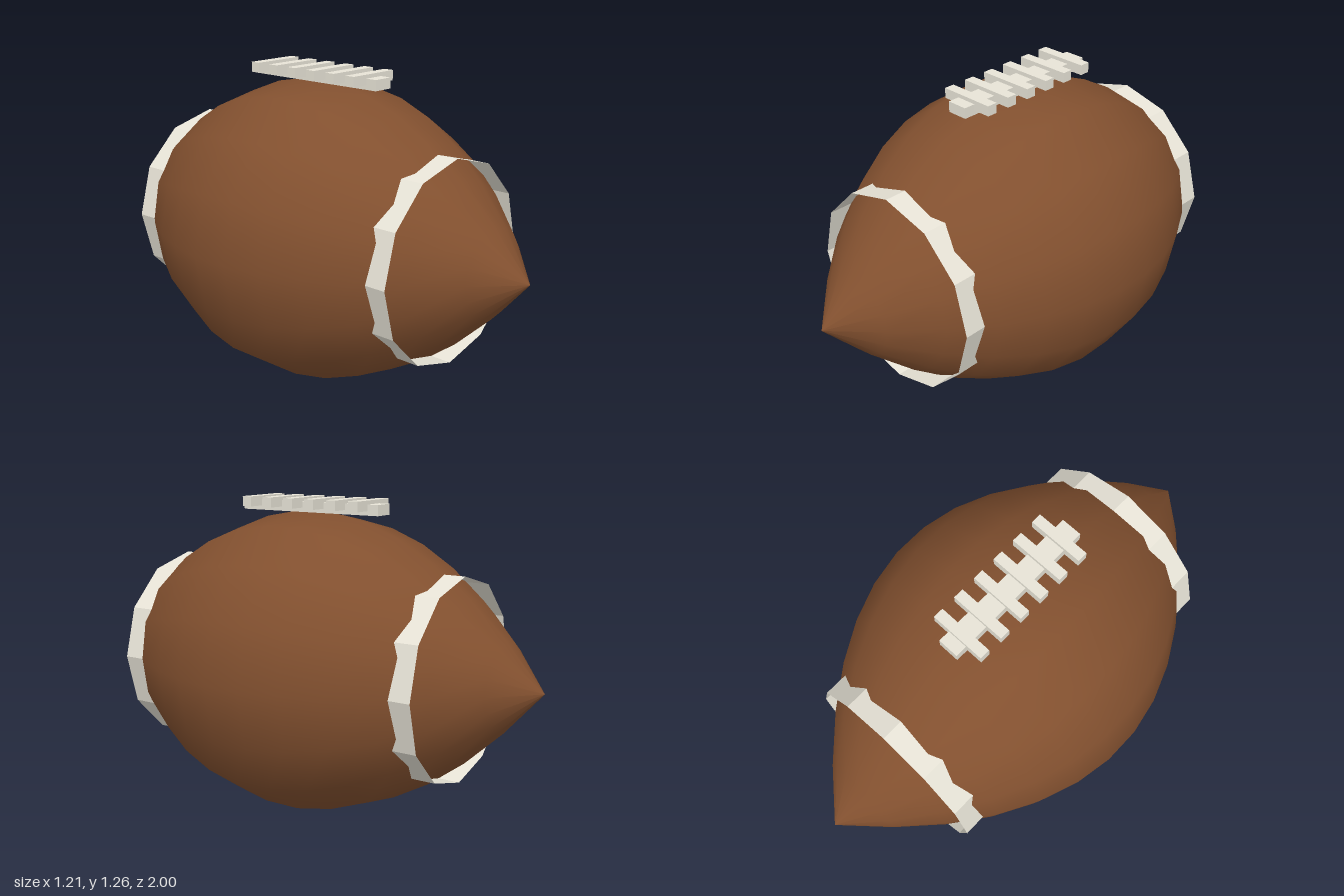
import * as THREE from 'three';

const CENTER_Y = 0.603;

export function createModel() {
  const model = new THREE.Group();
  model.name = 'football';

  const leather = new THREE.MeshStandardMaterial({ color: 0x82502f });
  leather.name = 'brown leather';
  const white = new THREE.MeshStandardMaterial({ color: 0xebe7da, side: THREE.DoubleSide, flatShading: true });
  white.name = 'off-white trim';

  const add = (name, geometry, material, x, y, z, parent = model) => {
    const mesh = new THREE.Mesh(geometry, material);
    mesh.name = name;
    mesh.position.set(x, y, z);
    parent.add(mesh);
    return mesh;
  };

  // Body: parabolic profile turned around the long axis, pointed at both ends
  const STEPS = 13;
  const profile = [];
  for (let i = 0; i <= STEPS; i++) {
    const t = -1 + (2 * i) / STEPS;
    profile.push(new THREE.Vector2(Math.max(0, 0.607 * (1 - t * t)), t));
  }
  const bodyGeometry = new THREE.LatheGeometry(profile, 16).rotateX(Math.PI / 2);
  add('body', bodyGeometry, leather, 0, CENTER_Y, 0);

  // Stripes: open twelve-sided hoops near each end
  const hoop = new THREE.CylinderGeometry(0.397, 0.397, 0.144, 12, 1, true).rotateX(Math.PI / 2);
  add('frontStripe', hoop, white, 0, CENTER_Y, 0.6);
  add('backStripe', hoop, white, 0, CENTER_Y, -0.6);

  // Laces: one long seam bar with six cross bars
  const laces = new THREE.Group();
  laces.name = 'laces';
  model.add(laces);
  add('laceSeam', new THREE.BoxGeometry(0.084, 0.042, 0.64), white, 0, 1.226, 0, laces);
  const crossBar = new THREE.BoxGeometry(0.226, 0.04, 0.042);
  for (let i = 0; i < 6; i++) {
    add(`laceCross${i + 1}`, crossBar, white, 0, 1.242, -0.252 + i * 0.1008, laces);
  }

  return model;
}
